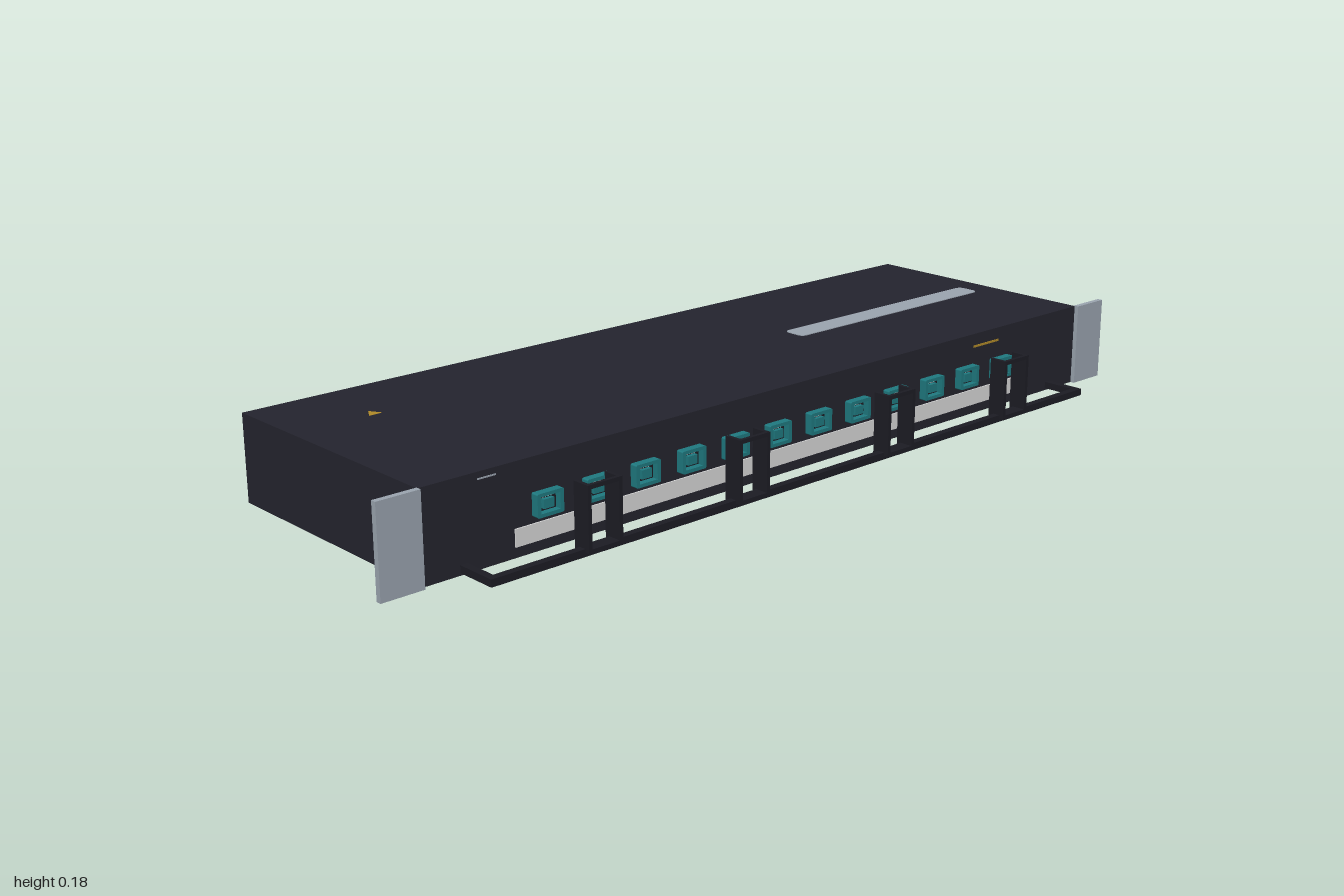
import * as THREE from 'three';

const mat = (name, color) => {
  const m = new THREE.MeshStandardMaterial({ color });
  m.name = name;
  return m;
};

export function createModel() {
  const charcoal = mat('charcoal', 0x24242e);
  const black = mat('black', 0x1c1c24);
  const steel = mat('steel grey', 0x9ba5b0);
  const white = mat('label white', 0xd8d8d8);
  const teal = mat('teal', 0x1f7a80);
  const gold = mat('gold', 0xb08a28);

  const root = new THREE.Group();
  root.name = 'rackPanel';

  // Box given by its min and max corners
  const box = (parent, name, material, x0, x1, y0, y1, z0, z1) => {
    const mesh = new THREE.Mesh(new THREE.BoxGeometry(x1 - x0, y1 - y0, z1 - z0), material);
    mesh.position.set((x0 + x1) / 2, (y0 + y1) / 2, (z0 + z1) / 2);
    mesh.name = name;
    parent.add(mesh);
    return mesh;
  };

  // Rounded rectangle lying in the XY plane
  const roundedRect = (w, h, r) => {
    const s = new THREE.Shape();
    s.moveTo(-w / 2 + r, -h / 2);
    s.lineTo(w / 2 - r, -h / 2);
    s.absarc(w / 2 - r, -h / 2 + r, r, -Math.PI / 2, 0);
    s.absarc(w / 2 - r, h / 2 - r, r, 0, Math.PI / 2);
    s.absarc(-w / 2 + r, h / 2 - r, r, Math.PI / 2, Math.PI);
    s.absarc(-w / 2 + r, -h / 2 + r, r, Math.PI, Math.PI * 1.5);
    return s;
  };
  const extrude = (shape, depth) =>
    new THREE.ExtrudeGeometry(shape, { depth, bevelEnabled: false, curveSegments: 6 });

  // Chassis and label strip
  box(root, 'chassis', charcoal, -0.91, 0.91, 0, 0.182, -0.34, 0.24);
  box(root, 'labelStrip', white, -0.708, 0.708, 0.021, 0.056, 0.238, 0.243);

  // Mounting ears
  for (const s of [-1, 1]) {
    const ear = box(root, s > 0 ? 'leftEar' : 'rightEar', steel, -0.0455, 0.0455, 0, 0.183, 0.238, 0.25);
    ear.position.x = s * 0.9545;
  }

  // Row of twelve jacks: framed socket, dark recess, keyed insert and contacts
  const frameShape = roundedRect(0.06, 0.046, 0.003);
  const hole = new THREE.Path();
  hole.moveTo(-0.022, -0.016);
  hole.lineTo(-0.022, 0.016);
  hole.lineTo(0.022, 0.016);
  hole.lineTo(0.022, -0.016);
  hole.closePath();
  frameShape.holes.push(hole);
  const frameGeo = extrude(frameShape, 0.017);
  for (let i = 0; i < 12; i++) {
    const jack = new THREE.Group();
    jack.name = 'jack' + (i + 1);
    jack.position.set(-0.638 + i * 0.116, 0.092, 0.24);
    const frame = new THREE.Mesh(frameGeo, teal);
    frame.name = 'jackFrame';
    jack.add(frame);
    box(jack, 'jackRecess', black, -0.022, 0.022, -0.016, 0.016, 0, 0.003);
    box(jack, 'jackInsert', teal, -0.012, 0.012, -0.01, 0.008, 0.003, 0.012);
    for (let k = 0; k < 4; k++) {
      const x = -0.009 + k * 0.006;
      box(jack, 'contact', white, x - 0.001, x + 0.001, 0.01, 0.014, 0.003, 0.006);
    }
    root.add(jack);
  }

  // Cable support bar
  const bar = new THREE.Group();
  bar.name = 'cableBar';
  root.add(bar);
  box(bar, 'frontRail', black, -0.828, 0.828, 0.005, 0.02, 0.314, 0.33);
  for (const s of [-1, 1]) {
    const arm = box(bar, 'sideArm', black, -0.008, 0.008, 0.005, 0.02, 0.238, 0.322);
    arm.position.x = s * 0.82;
  }

  // Upright cable guides
  for (const x of [-0.58, -0.21, 0.207, 0.577]) {
    const guide = new THREE.Group();
    guide.name = 'cableGuide';
    guide.position.x = x;
    for (const s of [-1, 1]) {
      const post = box(guide, 'guidePost', black, -0.004, 0.004, 0.013, 0.142, 0.3, 0.34);
      post.position.x = s * 0.036;
    }
    box(guide, 'guideTop', black, -0.04, 0.04, 0.134, 0.142, 0.332, 0.34);
    box(guide, 'guideFoot', black, -0.04, 0.04, 0.013, 0.02, 0.31, 0.34);
    root.add(guide);
  }

  // Vent strip on the lid
  const lidVent = new THREE.Mesh(extrude(roundedRect(0.59, 0.055, 0.014), 0.003), steel);
  lidVent.name = 'lidVent';
  lidVent.rotation.x = -Math.PI / 2;
  lidVent.position.set(0.556, 0.1805, -0.028);
  root.add(lidVent);

  // Vent strip on the rear
  const rearVent = new THREE.Mesh(extrude(roundedRect(0.57, 0.018, 0.006), 0.003), steel);
  rearVent.name = 'rearVent';
  rearVent.rotation.y = Math.PI;
  rearVent.position.set(-0.555, 0.078, -0.3385);
  root.add(rearVent);

  // Small gold marks on lid, front and rear
  const warn = new THREE.Mesh(new THREE.CircleGeometry(0.018, 3), gold);
  warn.name = 'lidMark';
  warn.rotation.set(-Math.PI / 2, 0, Math.PI / 2);
  warn.position.set(-0.73, 0.183, -0.165);
  root.add(warn);
  box(root, 'frontMark', gold, 0.55, 0.635, 0.151, 0.156, 0.239, 0.241);
  box(root, 'rearMark', gold, 0.72, 0.735, 0.066, 0.072, -0.341, -0.339);
  box(root, 'frontTag', steel, -0.785, -0.745, 0.167, 0.17, 0.239, 0.241);

  return root;
}
